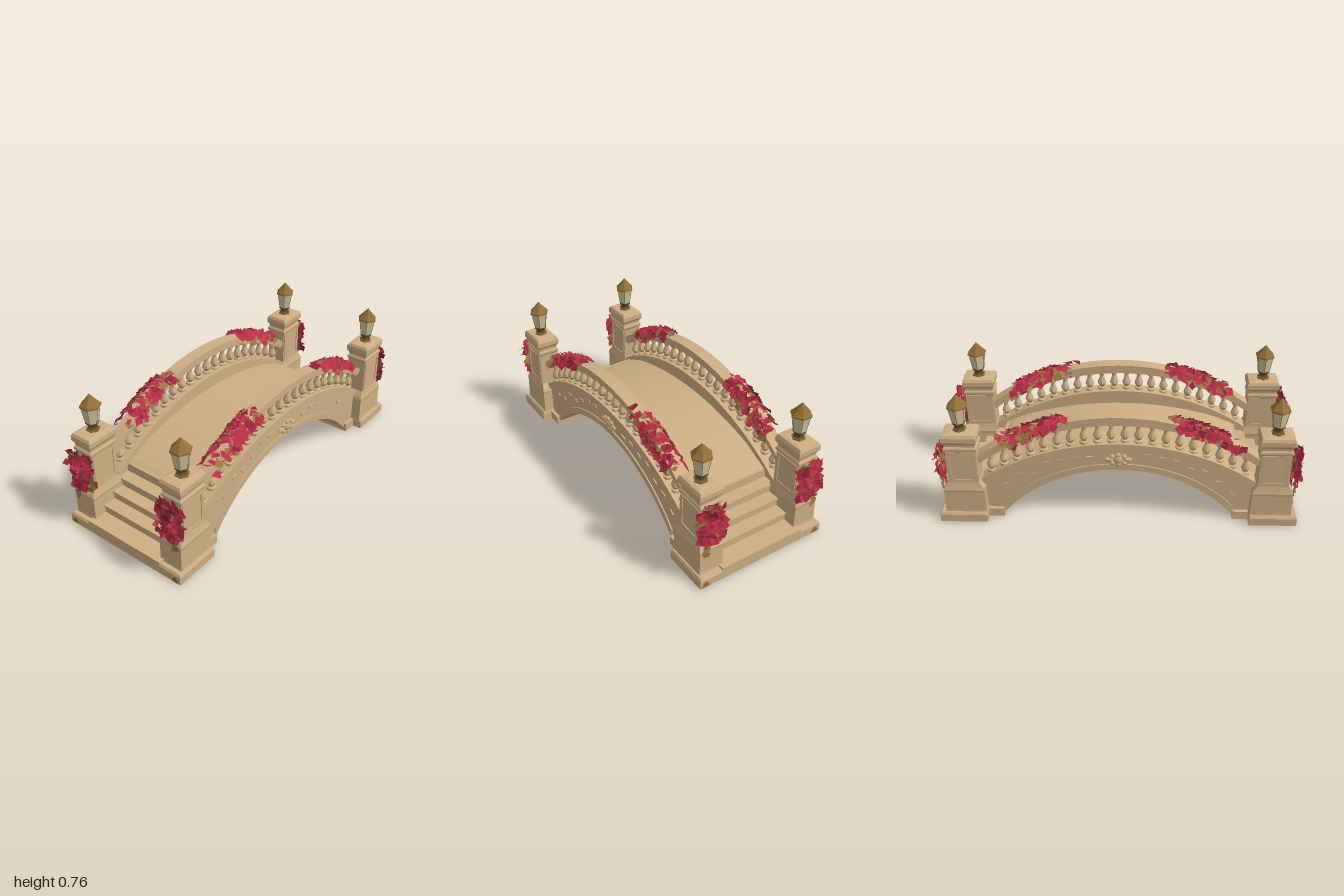
import * as THREE from 'three';

const mat = (name, color, extra = {}) => new THREE.MeshStandardMaterial({ name, color, ...extra });

// small seeded random
let seed = 7;
const rnd = () => { seed = (seed * 16807) % 2147483647; return seed / 2147483647; };
const spread = (a) => (rnd() * 2 - 1) * a;

// height of a circular arc that peaks at (0, top) and falls by drop at x = span
const arc = (top, span, drop) => {
  const r = (span * span + drop * drop) / (2 * drop);
  return (x) => top - r + Math.sqrt(Math.max(0, r * r - x * x));
};
const soffitY = arc(0.315, 0.63, 0.295);
const wallTopY = arc(0.48, 0.74, 0.235);
const railTopY = arc(0.643, 0.74, 0.243);
const deckY = arc(0.395, 0.67, 0.125);

const curve = (f, x0, x1, n = 36) =>
  Array.from({ length: n + 1 }, (_, i) => { const x = x0 + (x1 - x0) * i / n; return [x, f(x)]; });

const flat = (g) => { const f = g.index ? g.toNonIndexed() : g; f.computeVertexNormals(); return f; };

// extrude a list of points from z0 to z1
function slab(points, z0, z1) {
  const shape = new THREE.Shape(points.map(([x, y]) => new THREE.Vector2(x, y)));
  const g = new THREE.ExtrudeGeometry(shape, { depth: z1 - z0, bevelEnabled: false });
  return g.translate(0, 0, z0);
}

// curved strip between two arcs
const band = (top, bottom, span, z0, z1) =>
  slab([...curve(bottom, -span, span), ...curve(top, span, -span)], z0, z1);

// rectangular loft, rows are [y, half width, half depth] from the bottom up
function loft(rows) {
  const p = [];
  const ring = ([y, a, b]) => [[-a, y, b], [a, y, b], [a, y, -b], [-a, y, -b]];
  const quad = (a, b, c, d) => p.push(...a, ...b, ...c, ...a, ...c, ...d);
  for (let i = 0; i < rows.length - 1; i++) {
    const lo = ring(rows[i]), hi = ring(rows[i + 1]);
    for (let k = 0; k < 4; k++) { const n = (k + 1) % 4; quad(lo[k], lo[n], hi[n], hi[k]); }
  }
  quad(...ring(rows[rows.length - 1]));
  quad(...ring(rows[0]).reverse());
  const g = new THREE.BufferGeometry();
  g.setAttribute('position', new THREE.Float32BufferAttribute(p, 3));
  g.computeVertexNormals();
  return g;
}

const lathe = (pts, sides) =>
  flat(new THREE.LatheGeometry(pts.map(([r, y]) => new THREE.Vector2(r, y)), sides));

export function createModel() {
  seed = 7;
  const stone = mat('stone', 0xcdae83);
  const bronze = mat('bronze', 0x947038);
  const iron = mat('dark bronze', 0x66502c);
  const glass = mat('lantern glass', 0xd3c6a3);
  const red = mat('red petals', 0xb92f45, { side: THREE.DoubleSide });
  const crimson = mat('crimson petals', 0x8f2339, { side: THREE.DoubleSide });
  const leaf = mat('dry leaves', 0x97733f, { side: THREE.DoubleSide });

  const model = new THREE.Group();
  model.name = 'footbridge';
  const add = (parent, name, geo, material, x = 0, y = 0, z = 0) => {
    const m = new THREE.Mesh(geo, material);
    m.name = name;
    m.position.set(x, y, z);
    parent.add(m);
    return m;
  };

  // deck with steps at both ends
  const steps = [[0.67, 0.265], [0.67, 0.213], [0.735, 0.213], [0.735, 0.165], [0.80, 0.165],
    [0.80, 0.118], [0.87, 0.118], [0.87, 0.07], [0.975, 0.07], [0.975, 0]];
  const body = [[-0.63, 0], ...curve(soffitY, -0.63, 0.63), [0.63, 0], ...steps.slice().reverse(),
    ...curve(deckY, 0.67, -0.67).slice(1, -1), ...steps.map(([x, y]) => [-x, y])];
  add(model, 'deck and steps', slab(body, -0.252, 0.252), stone);
  for (const s of [-1, 1]) {
    // overhanging step noses
    [[0.67, 0.268], [0.735, 0.213], [0.80, 0.165], [0.87, 0.118]].forEach(([x, y]) =>
      add(model, 'step nose', new THREE.BoxGeometry(0.03, 0.014, 0.46), stone, s * (x - 0.009), y - 0.006, 0));
    add(model, 'arch footing', new THREE.BoxGeometry(0.09, 0.05, 0.66), stone, s * 0.675, 0.025, 0);
  }

  const balusterGeo = lathe([[0.024, 0], [0.024, 0.12], [0.013, 0.17], [0.025, 0.34], [0.023, 0.45],
    [0.012, 0.72], [0.012, 0.82], [0.021, 0.88], [0.021, 1]], 8);

  for (const s of [-1, 1]) {
    const side = new THREE.Group();
    side.name = s > 0 ? 'front parapet' : 'back parapet';
    model.add(side);
    const part = (name, geo) => add(side, name, geo, stone);
    const zs = (a, b) => (s > 0 ? [a, b] : [-b, -a]);

    // spandrel wall, ring and mouldings
    part('spandrel wall', slab([[-0.74, 0], [-0.63, 0], ...curve(soffitY, -0.63, 0.63), [0.63, 0], [0.74, 0],
      ...curve(wallTopY, 0.74, -0.74)], ...zs(0.25, 0.31)));
    part('cornice', band(wallTopY, (x) => wallTopY(x) - 0.035, 0.74, ...zs(0.24, 0.322)));
    part('lower moulding', band((x) => wallTopY(x) - 0.035, (x) => wallTopY(x) - 0.05, 0.74, ...zs(0.3, 0.317)));
    part('arch ring', band((x) => soffitY(x) + 0.035 + 0.05 * x * x, soffitY, 0.625, ...zs(0.3, 0.317)));
    // handrail
    part('handrail', band(railTopY, (x) => railTopY(x) - 0.038, 0.76, ...zs(0.248, 0.322)));
    part('handrail underside', band((x) => railTopY(x) - 0.036, (x) => railTopY(x) - 0.055, 0.75, ...zs(0.26, 0.31)));

    // balusters
    for (let i = 0; i < 20; i++) {
      const x = -0.684 + i * 0.072, y = wallTopY(x) - 0.004;
      add(side, 'baluster', balusterGeo, stone, x, y, s * 0.285).scale.y = railTopY(x) - 0.05 - y;
    }

    // weathered blocks standing out of the wall
    for (let i = -8; i <= 8; i++) {
      if (Math.abs(i) < 2) continue;
      const x = i * 0.077, t = 0.42 + 0.25 * rnd();
      const y = soffitY(x) * (1 - t) + wallTopY(x) * t;
      const b = add(side, 'worn block', new THREE.BoxGeometry(0.035, 0.016, 0.008), stone, x, y, s * 0.312);
      b.rotation.z = -x * 0.8 + spread(0.25);
    }

    // carved ornament over the crown
    const ornament = new THREE.Group();
    ornament.name = 'carved ornament';
    ornament.position.set(0, 0.378, s * 0.312);
    side.add(ornament);
    const boss = (x, y, rx, ry, d) =>
      add(ornament, 'carved lobe', new THREE.SphereGeometry(1, 10, 6), stone, x, y, 0).scale.set(rx, ry, d);
    boss(0, 0, 0.026, 0.026, 0.018);
    for (const e of [-1, 1]) {
      boss(e * 0.05, 0, 0.026, 0.014, 0.013);
      boss(0, e * 0.028, 0.018, 0.014, 0.014);
      boss(e * 0.032, 0.02, 0.016, 0.013, 0.013);
      boss(e * 0.032, -0.02, 0.016, 0.013, 0.013);
    }
  }

  // corner pillars with lanterns
  const pillarGeo = loft([[0.05, 0.116, 0.071], [0.07, 0.112, 0.069], [0.185, 0.109, 0.068], [0.2, 0.111, 0.07],
    [0.215, 0.104, 0.065], [0.245, 0.083, 0.058], [0.44, 0.081, 0.057], [0.45, 0.088, 0.062],
    [0.462, 0.088, 0.062], [0.472, 0.08, 0.055], [0.488, 0.082, 0.057], [0.503, 0.092, 0.068],
    [0.53, 0.092, 0.068], [0.545, 0.084, 0.06], [0.55, 0.05, 0.045]]);
  const baseGeo = lathe([[0, 0.545], [0.037, 0.545], [0.037, 0.558], [0, 0.558]], 6);
  const footGeo = lathe([[0.034, 0.556], [0.023, 0.566], [0.023, 0.576],
    [0.036, 0.59], [0.036, 0.597], [0, 0.597]], 6);
  const paneGeo = lathe([[0.034, 0.596], [0.05, 0.694]], 6);
  const roofGeo = lathe([[0, 0.688], [0.056, 0.688], [0.056, 0.696], [0.04, 0.712], [0.022, 0.733],
    [0.01, 0.748], [0, 0.76]], 6);

  for (const sx of [-1, 1]) for (const sz of [-1, 1]) {
    const pillar = new THREE.Group();
    pillar.name = 'corner pillar';
    pillar.position.set(sx * 0.83, 0, sz * 0.298);
    model.add(pillar);
    add(pillar, 'plinth', loft([[0, 0.13, 0.086], [0.045, 0.13, 0.086], [0.058, 0.122, 0.078]]), stone, sx * 0.015);
    add(pillar, 'shaft', pillarGeo, stone);
    // weather stain low on the outer corner
    for (const [w, h, y] of [[0.04, 0.014, 0.01], [0.03, 0.012, 0.022], [0.018, 0.008, 0.031]])
      add(pillar, 'weather stain', new THREE.BoxGeometry(0.003, h, w), bronze, sx * 0.1455, y, sz * 0.053);
    // raised frames leaving a sunken panel
    for (const f of [-1, 1]) {
      for (const e of [-1, 1]) {
        add(pillar, 'panel stile', new THREE.BoxGeometry(0.018, 0.18, 0.008), stone, e * 0.066, 0.345, f * 0.058);
        add(pillar, 'panel rail', new THREE.BoxGeometry(0.15, 0.018, 0.008), stone, 0, 0.345 + e * 0.088, f * 0.058);
      }
    }
    const lantern = new THREE.Group();
    lantern.name = 'lantern';
    pillar.add(lantern);
    add(lantern, 'lantern base', baseGeo, bronze);
    add(lantern, 'lantern foot', footGeo, iron);
    add(lantern, 'lantern panes', paneGeo, glass);
    add(lantern, 'lantern roof', roofGeo, bronze);
    for (let k = 0; k < 6; k++) {
      const a = k * Math.PI / 3, low = new THREE.Vector3(0.034 * Math.sin(a), 0.596, 0.034 * Math.cos(a));
      const high = new THREE.Vector3(0.05 * Math.sin(a), 0.692, 0.05 * Math.cos(a));
      add(lantern, 'lantern rib', new THREE.TubeGeometry(new THREE.LineCurve3(low, high), 1, 0.0018, 4), bronze);
    }
  }

  // climbing flowers, bent four-cornered leaves gathered by colour
  const sets = [[red, [], 'red flowers'], [crimson, [], 'crimson flowers'], [leaf, [], 'vine leaves']];
  const up = new THREE.Vector3(0, 0, 1);
  function addLeaf(set, pos, normal, size) {
    const q = new THREE.Quaternion().setFromUnitVectors(up, normal.normalize());
    q.multiply(new THREE.Quaternion().setFromAxisAngle(up, rnd() * 6.28));
    const c = [[-1, -0.8], [1, -0.9], [0.9, 0.9], [-0.9, 0.8]].map(([x, y], i) =>
      new THREE.Vector3(x + spread(0.2), y + spread(0.2), i % 2 ? 0.2 : -0.1)
        .multiplyScalar(size).applyQuaternion(q).add(pos).toArray());
    sets[set][1].push(...c[0], ...c[1], ...c[2], ...c[0], ...c[2], ...c[3]);
  }
  const pick = (brown) => { const r = rnd(); return r < brown ? 2 : r < brown + 0.14 ? 1 : 0; };
  for (const sx of [-1, 1]) for (const sz of [-1, 1]) {
    // clumps lying over the handrail
    for (let i = 0; i < 115; i++) {
      const x = 0.46 + spread(0.13) + spread(0.075), a = spread(1.5);
      const drop = rnd() < 0.15 ? rnd() * 0.05 : 0;
      const set = pick(0.24);
      const pos = new THREE.Vector3(sx * x, railTopY(x) - 0.016 + (set === 2 ? 0.026 : 0.03) * Math.cos(a) - drop + spread(0.008),
        sz * (0.293 + 0.058 * Math.sin(a)));
      addLeaf(set, pos, new THREE.Vector3(spread(0.35), Math.cos(a) + 0.3, sz * Math.sin(a) + spread(0.3)), 0.018 + rnd() * 0.008);
    }
    // clumps hanging on the end faces of the pillars
    for (let i = 0; i < 90; i++) {
      const y = 0.255 + 0.19 * rnd(), z = spread(0.07), set = pick(0.22);
      const bulge = (set === 2 ? 0.04 : 0.06) * (1 - Math.abs(z) * 6);
      const pos = new THREE.Vector3(sx * (0.918 + rnd() * bulge), y, sz * (0.302 + z));
      addLeaf(set, pos, new THREE.Vector3(sx, spread(0.35), spread(0.35) + sz * z * 5), 0.018 + rnd() * 0.009);
    }
    // leaves curling off the clump
    for (let i = 0; i < 8; i++) {
      const pos = new THREE.Vector3(sx * 0.972, 0.27 + rnd() * 0.14, sz * (0.302 + spread(0.07)));
      addLeaf(i % 2, pos, new THREE.Vector3(sx * 0.6, 1, spread(0.5)), 0.017);
    }
    // trailing tips
    for (let i = 0; i < 14; i++) {
      const pos = new THREE.Vector3(sx * (0.942 + rnd() * 0.01), 0.178 + i * 0.006, sz * (0.338 + spread(0.012)));
      addLeaf(2, pos, new THREE.Vector3(sx, spread(0.3), spread(0.4)), 0.012);
    }
  }
  for (const [material, p, name] of sets) {
    const g = new THREE.BufferGeometry();
    g.setAttribute('position', new THREE.Float32BufferAttribute(p, 3));
    g.computeVertexNormals();
    add(model, name, g, material);
  }
  return model;
}
